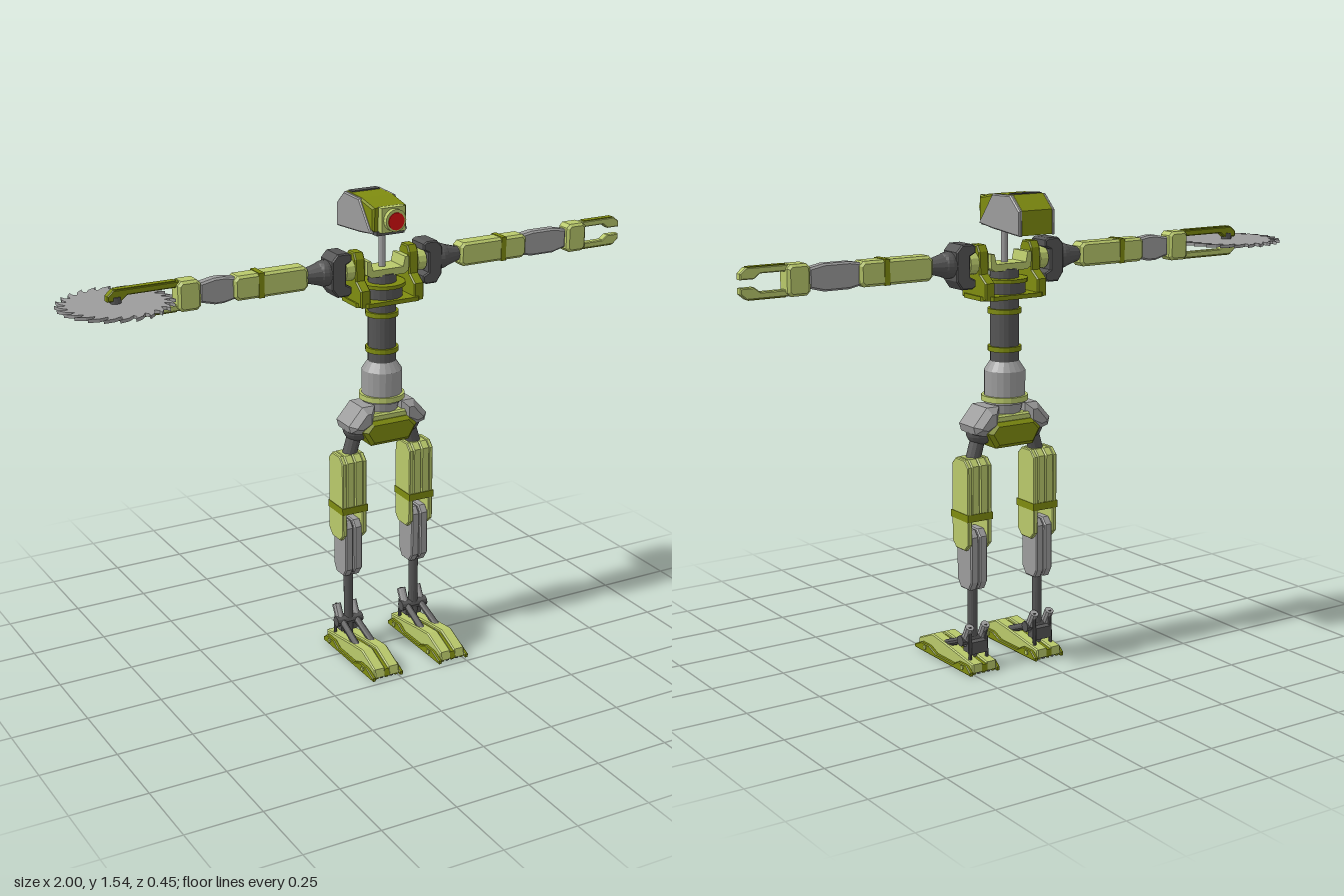
import * as THREE from 'three';

const mat = (color) => new THREE.MeshStandardMaterial({ color, flatShading: true });
const LIGHT = mat(0xb9c96b), OLIVE = mat(0x7f8c10), DARK = mat(0x555555), GREY = mat(0x9c9c9c), RED = mat(0xd81010);

function add(parent, name, geo, material, x = 0, y = 0, z = 0) {
  const m = new THREE.Mesh(geo, material);
  m.name = name;
  m.position.set(x, y, z);
  parent.add(m);
  return m;
}
const group = (parent, name, x = 0, y = 0, z = 0) => {
  const g = new THREE.Group();
  g.name = name;
  g.position.set(x, y, z);
  parent.add(g);
  return g;
};
const box = (w, h, d) => new THREE.BoxGeometry(w, h, d);
const cyl = (rTop, rBottom, h, n = 20) => new THREE.CylinderGeometry(rTop, rBottom, h, n);

// Outline in x,y, centred in depth, with an inset chamfer b
function plate(points, depth, b = 0) {
  const shape = new THREE.Shape(points.map(([x, y]) => new THREE.Vector2(x, y)));
  const geo = new THREE.ExtrudeGeometry(shape, {
    depth: depth - 2 * b, bevelEnabled: b > 0, bevelSize: b, bevelThickness: b, bevelOffset: -b, bevelSegments: 1,
  });
  return geo.translate(0, 0, -depth / 2 + b);
}
// Outline in z,y, extruded across x
const sidePlate = (points, width, b = 0) => plate(points, width, b).rotateY(-Math.PI / 2);
// Rectangle with cut corners
const octagon = (x0, x1, y0, y1, c) => [
  [x0 + c, y0], [x1 - c, y0], [x1, y0 + c], [x1, y1 - c], [x1 - c, y1], [x0 + c, y1], [x0, y1 - c], [x0, y0 + c],
];
function rod(parent, name, a, b, r, material, n = 10) {
  const from = new THREE.Vector3(...a), dir = new THREE.Vector3(...b).sub(from);
  const m = add(parent, name, cyl(r, r, dir.length(), n), material);
  m.position.copy(from).addScaledVector(dir, 0.5);
  m.quaternion.setFromUnitVectors(new THREE.Vector3(0, 1, 0), dir.normalize());
  return m;
}

function buildHead(root) {
  const head = group(root, 'head');
  const core = [[0.05, 1.447], [0.05, 1.522], [-0.032, 1.538], [-0.132, 1.541], [-0.181, 1.496], [-0.181, 1.42]];
  add(head, 'headShell', sidePlate(core, 0.122, 0.006), OLIVE);
  const cheek = [[0.045, 1.44], [-0.032, 1.537], [-0.132, 1.54], [-0.182, 1.495], [-0.182, 1.418], [-0.03, 1.43]];
  for (const s of [-1, 1]) add(head, 'cheekPanel', sidePlate(cheek, 0.014, 0.004), GREY, s * 0.06);
  add(head, 'crownBand', box(0.1, 0.006, 0.025), DARK, 0, 1.541, -0.118);
  add(head, 'chinPlate', box(0.1, 0.014, 0.07), DARK, 0, 1.44, 0.02);
  add(head, 'eyeHousing', box(0.085, 0.08, 0.025), LIGHT, 0, 1.485, 0.06);
  add(head, 'eyeBarrel', cyl(0.036, 0.036, 0.02).rotateX(Math.PI / 2), LIGHT, 0, 1.485, 0.079);
  add(head, 'eyeLens', cyl(0.028, 0.028, 0.008).rotateX(Math.PI / 2), RED, 0, 1.483, 0.088);
  add(head, 'neckRod', cyl(0.011, 0.011, 0.15, 12), GREY, 0, 1.37);
}

function buildTorso(root) {
  const torso = group(root, 'torso');
  add(torso, 'spine', cyl(0.046, 0.046, 0.32), DARK, 0, 1.14);
  for (const y of [1.045, 1.165]) add(torso, 'spineRing', cyl(0.054, 0.054, 0.016), OLIVE, 0, y);
  const waist = [[0, 0.87], [0.066, 0.87], [0.066, 0.975], [0.046, 1.005], [0, 1.005]];
  add(torso, 'waist', new THREE.LatheGeometry(waist.map(([x, y]) => new THREE.Vector2(x, y)), 20), GREY);
  add(torso, 'waistRing', cyl(0.075, 0.075, 0.018), LIGHT, 0, 0.886);
  add(torso, 'waistJoint', cyl(0.06, 0.045, 0.07), GREY, 0, 0.845);

  // Chest deck, drum and neck cradle
  add(torso, 'chestDeck', plate(octagon(-0.12, 0.12, -0.077, 0.077, 0.03), 0.014).rotateX(Math.PI / 2), OLIVE, 0, 1.216);
  add(torso, 'chestDrum', cyl(0.066, 0.066, 0.05), DARK, 0, 1.243);
  add(torso, 'chestRim', cyl(0.075, 0.075, 0.012), OLIVE, 0, 1.264);
  const cradle = [[-0.075, 1.305], [-0.06, 1.295], [0.06, 1.295], [0.075, 1.305], [0.075, 1.35],
    [0.062, 1.35], [0.055, 1.318], [-0.055, 1.318], [-0.062, 1.35], [-0.075, 1.35]];
  add(torso, 'neckCradle', plate(cradle, 0.08), LIGHT);

  for (const s of [-1, 1]) {
    const strut = [[-0.07, 1.21], [0.07, 1.21], [0.07, 1.265], [0.036, 1.29], [0.032, 1.36], [0.02, 1.38],
      [-0.02, 1.38], [-0.032, 1.36], [-0.036, 1.29], [-0.07, 1.265]];
    add(torso, 'chestStrut', sidePlate(strut, 0.035, 0.004), OLIVE, s * 0.097);
    add(torso, 'strutPad', box(0.012, 0.05, 0.05), LIGHT, s * 0.08, 1.325);
    add(torso, 'shoulderAxle', cyl(0.036, 0.036, 0.03, 12).rotateZ(Math.PI / 2), LIGHT, s * 0.13, 1.323);
    // C-shaped shoulder bracket opening inward
    const bracket = [[0.13, 1.36], [0.13, 1.38], [0.142, 1.387], [0.18, 1.387], [0.2, 1.365], [0.2, 1.275],
      [0.18, 1.247], [0.142, 1.247], [0.13, 1.255], [0.13, 1.275], [0.15, 1.285], [0.15, 1.35]];
    add(torso, 'shoulderBracket', plate(bracket.map(([x, y]) => [s * x, y]), 0.08, 0.004), DARK);
  }
}

function buildPelvis(root) {
  const pelvis = group(root, 'pelvis');
  const core = [[-0.07, 0.735], [0.07, 0.735], [0.1, 0.785], [0.07, 0.818], [-0.07, 0.818], [-0.1, 0.785]];
  add(pelvis, 'pelvisBlock', plate(core, 0.136, 0.012), OLIVE);
  add(pelvis, 'pelvisBar', plate([[-0.075, 0.815], [0.075, 0.815], [0.06, 0.84], [-0.06, 0.84]], 0.11, 0.006), LIGHT);
  for (const s of [-1, 1]) {
    const hip = [[0.05, 0.8], [0.1, 0.775], [0.138, 0.785], [0.145, 0.81], [0.095, 0.867], [0.05, 0.867]];
    add(pelvis, 'hipGuard', plate(hip.map(([x, y]) => [s * x, y]), 0.125, 0.02), GREY);
    add(pelvis, 'hipBall', new THREE.SphereGeometry(0.045, 14, 10), DARK, s * 0.095, 0.785);
    rod(pelvis, 'hipRod', [s * 0.095, 0.785, 0], [s * 0.126, 0.68, 0], 0.024, DARK, 12);
  }
}

function buildLeg(root, s) {
  const leg = group(root, s > 0 ? 'leftLeg' : 'rightLeg', s * 0.126);
  const shinShape = [[-0.028, 0.272], [0.022, 0.272], [0.042, 0.3], [0.042, 0.45], [0.025, 0.472], [-0.025, 0.472], [-0.044, 0.45], [-0.044, 0.3]];
  for (const k of [-1, 1]) {
    add(leg, 'thighSide', sidePlate(octagon(-0.049, 0.047, 0.407, 0.705, 0.022), 0.016, 0.003), LIGHT, k * 0.037);
    add(leg, 'thighHalf', sidePlate(octagon(-0.05, 0.049, 0.51, 0.705, 0.02), 0.031, 0.004), LIGHT, k * 0.0155);
    add(leg, 'shinHalf', sidePlate(shinShape, 0.029, 0.004), GREY, k * 0.0165);
    // Ankle links and struts
    rod(leg, 'ankleLink', [k * 0.03, 0.15, -0.03], [k * 0.03, 0.085, 0.005], 0.015, GREY);
    rod(leg, 'ankleStrut', [k * 0.026, 0.105, -0.015], [k * 0.03, 0.042, 0.145], 0.012, DARK);
    rod(leg, 'ankleStay', [k * 0.03, 0.15, -0.03], [k * 0.032, 0.04, -0.035], 0.006, DARK, 8);
  }
  add(leg, 'thighBand', box(0.094, 0.024, 0.1), OLIVE, 0, 0.517);
  add(leg, 'kneeCore', box(0.05, 0.17, 0.06), DARK, 0, 0.37, 0);
  add(leg, 'lowerLegRod', cyl(0.016, 0.016, 0.24, 14), DARK, 0, 0.16);
  add(leg, 'ankleBlock', box(0.06, 0.04, 0.05), DARK, 0, 0.08, -0.018);
  rod(leg, 'anklePin', [-0.048, 0.098, 0], [0.048, 0.098, 0], 0.018, DARK);
  rod(leg, 'toePin', [-0.04, 0.045, 0.14], [0.04, 0.045, 0.14], 0.013, DARK);

  // Foot wedge, side rails and ridged sole
  const foot = group(leg, 'foot');
  const wedge = [[0.268, 0.008], [0.262, 0.036], [0.178, 0.071], [0.1, 0.062], [-0.072, 0.037], [-0.072, 0.008]];
  add(foot, 'footCore', sidePlate(wedge.map(([z, y]) => [z, y * 0.85]), 0.02), OLIVE);
  const rail = [[0.272, 0], [0.272, 0.012], [0.23, 0.03], [0.18, 0.03], [0.14, 0.014], [0.03, 0.014],
    [0, 0.03], [-0.05, 0.03], [-0.074, 0.012], [-0.074, 0]];
  for (const k of [-1, 1]) {
    add(foot, 'footWedge', sidePlate(wedge, 0.04, 0.004), LIGHT, k * 0.026);
    add(foot, 'footRail', sidePlate(rail, 0.014, 0.003), OLIVE, k * 0.051);
    for (const z of [0.205, -0.027]) rod(foot, 'railBolt', [k * 0.055, 0.018, z], [k * 0.062, 0.018, z], 0.008, LIGHT, 8);
  }
  for (let i = -2; i <= 2; i++) add(foot, 'soleRidge', box(0.01, 0.01, 0.33), i % 2 ? DARK : OLIVE, i * 0.018, 0.006, 0.098);
}

// Arm runs outward along x; elbow is the outer end of the forearm link, prong the gripper length
function buildArm(root, s, elbow, prong) {
  const arm = group(root, s > 0 ? 'leftArm' : 'rightArm', 0, 1.323, 0);
  const part = (name, points, depth, b, material) => add(arm, name, plate(points.map(([x, y]) => [s * x, y]), depth, b), material);
  add(arm, 'shoulderBall', new THREE.SphereGeometry(0.042, 16, 12), DARK, s * 0.21);
  const cone = add(arm, 'shoulderCone', cyl(0.022, 0.04, 0.065, 14), DARK, s * 0.25);
  cone.rotation.z = -s * Math.PI / 2;
  part('upperArm', octagon(0.277, 0.53, -0.04, 0.038, 0.013), 0.06, 0.008, LIGHT);
  add(arm, 'upperArmBand', box(0.018, 0.08, 0.064), OLIVE, s * 0.44);
  part('forearm', [[0.5, -0.03], [0.56, -0.043], [elbow - 0.05, -0.043], [elbow, -0.03], [elbow, 0.03],
    [elbow - 0.05, 0.04], [0.56, 0.04], [0.5, 0.03]], 0.036, 0.006, GREY);
  const h = elbow + 0.075;
  part('palm', octagon(elbow, h, -0.048, 0.047, 0.012), 0.06, 0.008, LIGHT);
  for (const k of [-1, 1]) {
    const t = h + prong;
    const finger = [[h - 0.01, 0.047], [t - 0.02, 0.047], [t, 0.03], [t, 0.012], [t - 0.045, 0.012], [t - 0.065, 0.027], [h - 0.01, 0.027]];
    part(k > 0 ? 'upperProng' : 'lowerProng', finger.map(([x, y]) => [x, k * y]), 0.026, 0.003, k > 0 && s < 0 ? OLIVE : LIGHT);
    // Olive caps on the outer faces of the prongs
    add(arm, 'prongCap', box(prong - 0.025, 0.004, 0.022), OLIVE, s * (h + prong / 2 - 0.0125), k * 0.047);
  }
  return arm;
}

function buildSaw(arm) {
  const teeth = 24, points = [];
  for (let i = 0; i < teeth; i++) {
    for (const [r, da] of [[0.145, 0], [0.165, 0.5], [0.18, 1.15], [0.162, 0.92]]) {
      const a = ((i + da) / teeth) * Math.PI * 2;
      points.push([r * Math.cos(a), r * Math.sin(a)]);
    }
  }
  add(arm, 'sawBlade', plate(points, 0.01).rotateX(Math.PI / 2), GREY, -0.905, 0, -0.003);
  add(arm, 'sawHub', cyl(0.018, 0.018, 0.05, 12), DARK, -0.905);
}

export function createModel() {
  const model = new THREE.Group();
  model.name = 'sawRobot';
  const root = group(model, 'body', 0.085, 0, -0.043);
  buildHead(root);
  buildTorso(root);
  buildPelvis(root);
  for (const s of [-1, 1]) buildLeg(root, s);
  buildArm(root, 1, 0.695, 0.145);
  buildSaw(buildArm(root, -1, 0.64, 0.22));
  return model;
}
